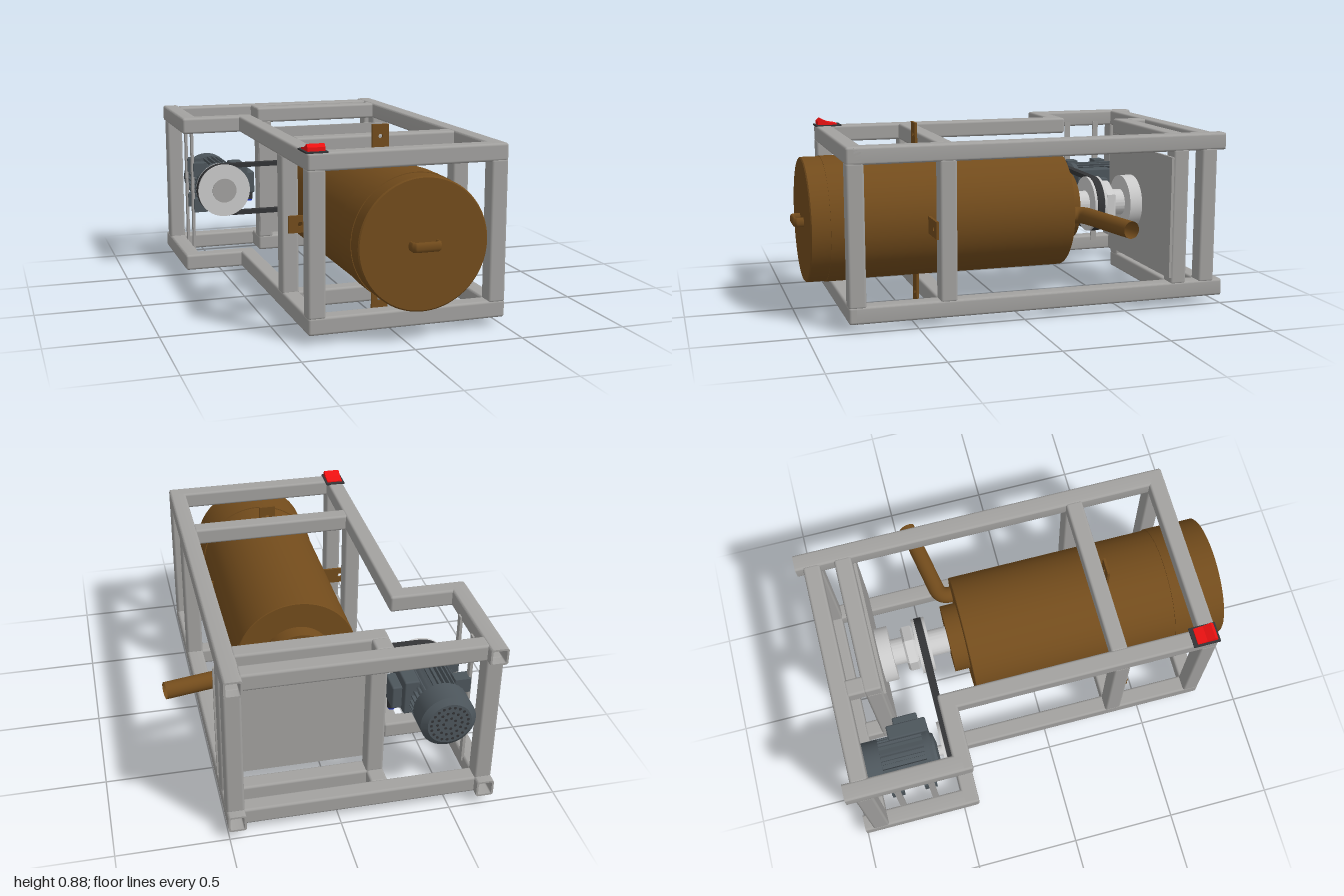
import * as THREE from 'three';
import { toCreasedNormals } from 'three/addons/utils/BufferGeometryUtils.js';
import { RoundedBoxGeometry } from 'three/addons/geometries/RoundedBoxGeometry.js';

const paint = (color) => new THREE.MeshStandardMaterial({ color });
const GREY = paint(0xcccccc), STEEL = paint(0xa3a2a0), BROWN = paint(0x734c1c);
const DARK = paint(0x4d565c), BLACK = paint(0x333436), RED = paint(0xee1111), BLUE = paint(0x1a2fc0);
const CX = 0.053, CY = 0.445, MX = -0.487; // drum axis and motor axis

export function createModel() {
  const model = new THREE.Group();
  const add = (name, geometry, material, parent = model) => {
    const mesh = new THREE.Mesh(geometry, material);
    mesh.name = name;
    parent.add(mesh);
    return mesh;
  };
  const group = (name) => {
    const g = new THREE.Group();
    g.name = name;
    model.add(g);
    return g;
  };
  // Box given by its limits on each axis
  const box = (name, mat, x0, x1, y0, y1, z0, z1, parent, round = 0) => {
    const size = [x1 - x0, y1 - y0, z1 - z0];
    const geo = round ? new RoundedBoxGeometry(...size, 2, round) : new THREE.BoxGeometry(...size);
    const m = add(name, geo, mat, parent);
    m.position.set((x0 + x1) / 2, (y0 + y1) / 2, (z0 + z1) / 2);
    return m;
  };
  // Turned part along z; the profile is [radius, z] pairs from back to front
  const turned = (name, mat, profile, x, y, parent, sides = 64) => {
    const geo = new THREE.LatheGeometry(profile.map(([r, z]) => new THREE.Vector2(r, z)), sides);
    geo.rotateX(Math.PI / 2);
    const m = add(name, toCreasedNormals(geo, 0.5), mat, parent);
    m.position.set(x, y, 0);
    return m;
  };
  const disc = (name, mat, r, z0, z1, x, y, parent, sides) =>
    turned(name, mat, [[0, z0], [r, z0], [r, z1], [0, z1]], x, y, parent, sides);
  const roundRect = (Type, h, r) => {
    const s = new Type();
    s.moveTo(h, -h + r).lineTo(h, h - r).quadraticCurveTo(h, h, h - r, h);
    s.lineTo(-h + r, h).quadraticCurveTo(-h, h, -h, h - r);
    s.lineTo(-h, -h + r).quadraticCurveTo(-h, -h, -h + r, -h);
    s.lineTo(h - r, -h).quadraticCurveTo(h, -h, h, -h + r);
    return s;
  };

  // Frame of square tubes, same layout for bottom and top
  const frame = group('frame');
  const R = 0.012;
  const hollowRail = (name, x, y, z0, z1) => {
    const s = roundRect(THREE.Shape, 0.04, R);
    s.holes.push(roundRect(THREE.Path, 0.031, 0.008));
    const geo = new THREE.ExtrudeGeometry(s, { depth: z1 - z0, bevelEnabled: false, curveSegments: 4 });
    add(name, toCreasedNormals(geo, 0.5), STEEL, frame).position.set(x, y, z0);
  };
  for (const [level, y] of [['bottom', 0.085], ['top', 0.796]]) {
    const bar = (name, x0, x1, z0, z1) =>
      box(level + name, STEEL, x0, x1, y - 0.04, y + 0.04, z0, z1, frame, R);
    hollowRail(level + 'RightRail', 0.464, y, -1, 0.78);
    hollowRail(level + 'MotorRail', -0.665, y, -1, -0.46);
    bar('JogRail', -0.705, -0.335, -0.5, -0.42);
    bar('LeftRail', -0.415, -0.335, -0.5, 0.815);
    bar('FrontRail', -0.415, 0.504, 0.735, 0.815);
    bar('MiddleRail', -0.345, 0.434, 0.318, 0.398);
    bar('RearRail', -0.635, 0.434, -0.963, -0.883);
    bar('BearingRail', -0.24, 0.434, -0.815, -0.733);
    bar('BearingStub', -0.24, -0.16, -0.893, -0.805);
  }
  const posts = [
    [-0.375, 0.775], [0.464, 0.775], [-0.375, 0.358], [0.464, 0.358],
    [0.464, -0.773], [-0.2, -0.773], [0.464, -0.92], [-0.665, -0.92]];
  for (const [x, z] of posts)
    box('post', STEEL, x - 0.04, x + 0.04, 0.115, 0.767, z - 0.04, z + 0.04, frame, R);
  box('bearingPlate', STEEL, -0.235, 0.51, 0.15, 0.73, -0.733, -0.72, frame);
  for (const z of [-0.625, -0.79])
    box('motorMountBar', STEEL, -0.63, -0.617, 0.1, 0.78, z - 0.015, z + 0.015, frame);

  // Drum with lid band and rear neck
  const drum = group('drum');
  turned('drumBody', BROWN, [[0, -0.38], [0.165, -0.38], [0.165, -0.305], [0.288, -0.305], [0.291, -0.302],
    [0.291, 0.7], [0.296, 0.7], [0.296, 0.86], [0.293, 0.86], [0.293, 0.945], [0.287, 0.95], [0, 0.95]],
    CX, CY, drum, 96);

  // Lid handle
  const handlePath = new THREE.CurvePath();
  const hp = [[-0.06, 0.94], [-0.06, 0.98], [-0.05, 0.99], [0.05, 0.99], [0.06, 0.98], [0.06, 0.94]]
    .map(([x, z]) => new THREE.Vector3(CX + x, 0.444, z));
  for (let i = 0; i < 5; i++) handlePath.add(new THREE.LineCurve3(hp[i], hp[i + 1]));
  const handle = add('lidHandle', new THREE.TubeGeometry(handlePath, 60, 0.01, 10), BROWN, drum);
  handle.scale.y = 2.2;
  handle.position.y = -0.444 * 1.2;

  // Four drilled mounting tabs around the drum
  const tabShape = new THREE.Shape();
  tabShape.moveTo(0.28, -0.04).lineTo(0.44, -0.04).lineTo(0.44, 0.04).lineTo(0.28, 0.04).closePath();
  const tabHole = new THREE.Path();
  tabHole.absarc(0.385, 0, 0.011, 0, Math.PI * 2, true);
  tabShape.holes.push(tabHole);
  for (let i = 0; i < 4; i++) {
    const tab = add('mountingTab',
      new THREE.ExtrudeGeometry(tabShape, { depth: 0.012, bevelEnabled: false }), BROWN, drum);
    tab.position.set(CX, CY, 0.402);
    tab.rotation.z = i * Math.PI / 2;
  }

  // Bent outlet pipe, open at its end
  const pipePath = new THREE.CurvePath();
  const P = (x, z) => new THREE.Vector3(x, 0.437, z);
  pipePath.add(new THREE.LineCurve3(P(0.283, -0.28), P(0.283, -0.315)));
  pipePath.add(new THREE.QuadraticBezierCurve3(P(0.283, -0.315), P(0.283, -0.363), P(0.335, -0.373)));
  pipePath.add(new THREE.LineCurve3(P(0.335, -0.373), P(0.694, -0.44)));
  const pipeMat = BROWN.clone();
  pipeMat.side = THREE.DoubleSide;
  add('outletPipe', new THREE.TubeGeometry(pipePath, 60, 0.04, 24), pipeMat, drum);

  // Shaft, hex nut, bearing
  const drive = group('drive');
  disc('driveShaft', GREY, 0.065, -0.7, -0.37, CX, CY, drive);
  const nut = turned('shaftNut', GREY, [[0, -0.598], [0.1, -0.598], [0.112, -0.588], [0.112, -0.548],
    [0.1, -0.538], [0, -0.538]], CX, CY, drive, 6);
  nut.geometry = toCreasedNormals(nut.geometry, 0.1);
  disc('bearing', GREY, 0.135, -0.722, -0.657, CX, CY, drive);

  // Grooved pulleys and belt
  for (const x of [CX, MX])
    turned('pulley', GREY, [[0, -0.535], [0.136, -0.535], [0.136, -0.523], [0.118, -0.515], [0.118, -0.492],
      [0.136, -0.483], [0.136, -0.47], [0, -0.47]], x, CY, drive);
  disc('pulleyHub', STEEL, 0.063, -0.48, -0.464, MX, CY, drive, 40);
  const loop = (Type, r) => {
    const s = new Type();
    s.absarc(CX, CY, r, -Math.PI / 2, Math.PI / 2, false);
    s.absarc(MX, CY, r, Math.PI / 2, Math.PI * 1.5, false);
    return s.closePath();
  };
  const belt = loop(THREE.Shape, 0.137);
  belt.holes.push(loop(THREE.Path, 0.115));
  const beltGeo = new THREE.ExtrudeGeometry(belt, { depth: 0.036, bevelEnabled: false, curveSegments: 32 });
  add('driveBelt', toCreasedNormals(beltGeo, 0.5), BLACK, drive).position.z = -0.521;

  // Finned motor with fan cover, feet and terminal box
  const motor = group('motor');
  turned('motorBody', DARK, [[0, -0.9], [0.106, -0.9], [0.106, -0.6], [0.09, -0.565], [0.04, -0.555], [0, -0.555]],
    MX, CY, motor);
  turned('motorEndBell', DARK, [[0, -0.615], [0.125, -0.615], [0.125, -0.592], [0.11, -0.578], [0, -0.578]],
    MX, CY, motor);
  turned('fanCover', DARK, [[0, -0.955], [0.1, -0.955], [0.126, -0.935], [0.126, -0.825], [0, -0.825]],
    MX, CY, motor);
  disc('motorShaft', GREY, 0.025, -0.6, -0.5, MX, CY, motor, 24);
  for (let i = 0; i < 32; i++) {
    const a = (i + 0.5) / 32 * Math.PI * 2;
    const fin = add('coolingFin', new THREE.BoxGeometry(0.03, 0.007, 0.22), DARK, motor);
    fin.position.set(MX + Math.cos(a) * 0.111, CY + Math.sin(a) * 0.111, -0.72);
    fin.rotation.z = a;
  }
  for (let ring = 1; ring <= 3; ring++)
    for (let i = 0; i < ring * 7; i++) {
      const a = i / (ring * 7) * Math.PI * 2, r = ring * 0.028;
      disc('fanVent', BLACK, 0.007, -0.956, -0.95, MX + Math.cos(a) * r, CY + Math.sin(a) * r, motor, 8);
    }
  for (const y of [0.345, 0.537])
    for (const z of [-0.63, -0.79])
      box('motorFoot', DARK, -0.622, -0.55, y - 0.035, y + 0.035, z - 0.03, z + 0.03, motor);
  box('terminalBox', DARK, -0.405, -0.335, 0.385, 0.555, -0.77, -0.58, motor, 0.008);
  box('terminalLid', DARK, -0.34, -0.29, 0.395, 0.51, -0.735, -0.615, motor, 0.008);
  const gland = add('cableGland', new THREE.CylinderGeometry(0.02, 0.02, 0.05, 16), BLACK, motor);
  gland.position.set(-0.312, 0.38, -0.66);
  const glandCap = add('cableGlandCap', new THREE.CylinderGeometry(0.016, 0.016, 0.012, 16), BLUE, motor);
  glandCap.position.set(-0.312, 0.352, -0.66);

  // Red rocker switch on the front corner
  const control = group('switch');
  box('switchBase', BLACK, -0.422, -0.325, 0.834, 0.841, 0.69, 0.818, control);
  const rocker = new THREE.Shape();
  rocker.moveTo(-0.805, 0.838).lineTo(-0.71, 0.838).lineTo(-0.71, 0.846).lineTo(-0.755, 0.854)
    .lineTo(-0.79, 0.872).lineTo(-0.805, 0.858).closePath();
  const rockerMesh = add('rocker',
    new THREE.ExtrudeGeometry(rocker, { depth: 0.078, bevelEnabled: false }), RED, control);
  rockerMesh.rotation.y = Math.PI / 2;
  rockerMesh.position.x = -0.412;
  return model;
}
